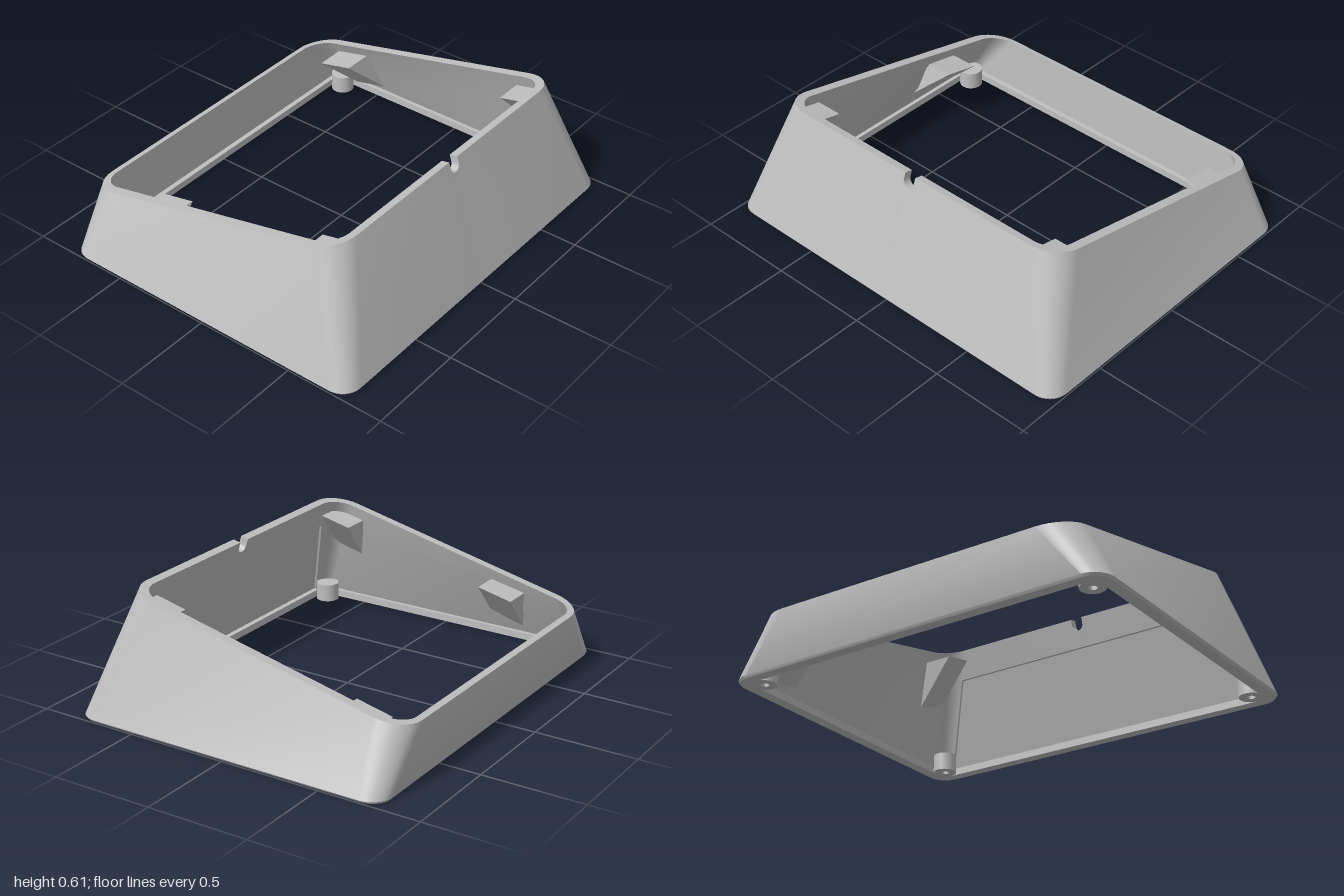
import * as THREE from 'three';
import { toCreasedNormals } from 'three/addons/utils/BufferGeometryUtils.js';

const SLOPE = 0.224;                       // tilt of the rim, high at the front
const rimY = (z) => 0.469 + SLOPE * z;

// Rounded rectangle; drop cuts the cable notch, recess pushes the front run outwards
function section(hx, zf, zb, r, yOf, { drop = 0, recess = 0 } = {}) {
  const pts = [];
  const arc = (cx, cz, a0) => {
    for (let i = 0; i <= 8; i++) {
      const a = a0 + (i / 8) * Math.PI / 2;
      const x = cx + r * Math.cos(a), z = cz + r * Math.sin(a);
      pts.push(new THREE.Vector3(x, yOf(z), z));
    }
  };
  const front = (x, d) => {
    const fall = d * drop;
    pts.push(new THREE.Vector3(x, yOf(zf) - fall, zf + recess + fall * 0.31));
  };
  arc(hx - r, zf - r, 0);
  front(hx - r, 0);
  front(0.03, 0);
  for (let i = 0; i <= 10; i++) {
    const a = (i / 10) * Math.PI;
    front(0.03 * Math.cos(a), 0.03 + 0.03 * Math.sin(a));
  }
  front(-0.03, 0);
  front(-hx + r, 0);
  arc(-hx + r, zf - r, Math.PI / 2);
  arc(-hx + r, zb + r, Math.PI);
  arc(hx - r, zb + r, Math.PI * 1.5);
  return pts;
}

// Skin between successive closed loops, the last joined to the first
function loft(loops) {
  const n = loops[0].length, m = loops.length, index = [];
  for (let j = 0; j < m; j++) {
    for (let i = 0; i < n; i++) {
      const k = (i + 1) % n, up = (j + 1) % m;
      const a = j * n + i, b = up * n + i, c = j * n + k, d = up * n + k;
      index.push(a, b, c, c, b, d);
    }
  }
  const g = new THREE.BufferGeometry().setFromPoints(loops.flat());
  g.setIndex(index);
  return toCreasedNormals(g, 0.6);
}

export function createModel() {
  const model = new THREE.Group();
  model.name = 'slopedFrame';
  const grey = new THREE.MeshStandardMaterial({ color: 0xbfbfbf });
  grey.name = 'light grey';
  const add = (parent, name, geometry) => {
    const mesh = new THREE.Mesh(geometry, grey);
    mesh.name = name;
    parent.add(mesh);
    return mesh;
  };

  // Hollow shell: chamfered foot, outer wall, rim, recessed inner wall, bottom lip
  const level = (y) => () => y;
  const innerTop = section(0.795, 0.59, -0.79, 0.11, rimY);
  const innerLow = section(0.955, 0.775, -0.77, 0.07, level(0.035));
  const ledge = innerTop.map((p, i) => p.clone().lerp(innerLow[i], 0.25));
  const innerLowCut = section(0.955, 0.775, -0.77, 0.07, level(0.035), { recess: 0.012 });
  const ledgeCut = ledge.map((p, i) =>
    p.clone().add(new THREE.Vector3(0, 0, innerLowCut[i].z - innerLow[i].z)));
  add(model, 'shell', loft([
    section(0.99, 0.812, -0.797, 0.09, level(0)),
    section(1, 0.82, -0.805, 0.1, level(0.012)),
    section(0.84, 0.63, -0.82, 0.15, rimY, { drop: 1 }),
    section(0.795, 0.59, -0.79, 0.11, rimY, { drop: 1 }),
    ledge,
    ledgeCut,
    innerLowCut,
    section(0.935, 0.76, -0.745, 0.06, level(0.035)),
    section(0.935, 0.76, -0.745, 0.06, level(0)),
  ]));

  // Wedge brackets below the rim, tilted with it: side, back z, front z, wall x, tip x
  const tilted = new THREE.Group();
  tilted.name = 'brackets';
  tilted.position.y = 0.469;
  tilted.rotation.x = -Math.atan(SLOPE);
  model.add(tilted);
  const brackets = [
    [-1, -0.5, -0.32, 0.68, 0.83, 0.92],
    [1, -0.67, -0.49, 0.68, 0.83, 0.92],
    [-1, 0.43, 0.59, 0.67, 0.81, 0.88],
    [1, 0.43, 0.59, 0.67, 0.81, 0.88],
  ];
  for (const [side, z0, z1, edge, wall, tip] of brackets) {
    const shape = new THREE.Shape([
      new THREE.Vector2(side * edge, -0.06),
      new THREE.Vector2(side * wall, -0.06),
      new THREE.Vector2(side * tip, -0.28),
    ]);
    const g = new THREE.ExtrudeGeometry(shape, { depth: (z1 - z0) / 0.976, bevelEnabled: false });
    add(tilted, 'bracket', g).position.z = (z0 - 0.013) / 0.976;
  }

  // Screw bosses in the bottom corners, with blind holes from below
  const profile = [[0, 0.07], [0.02, 0.07], [0.02, 0], [0.058, 0], [0.058, 0.09], [0, 0.09]]
    .map(([x, y]) => new THREE.Vector2(x, y));
  const boss = toCreasedNormals(new THREE.LatheGeometry(profile, 24), 0.6);
  for (const x of [-0.885, 0.885]) {
    for (const z of [-0.69, 0.7]) add(model, 'screwBoss', boss).position.set(x, 0, z);
  }
  return model;
}
